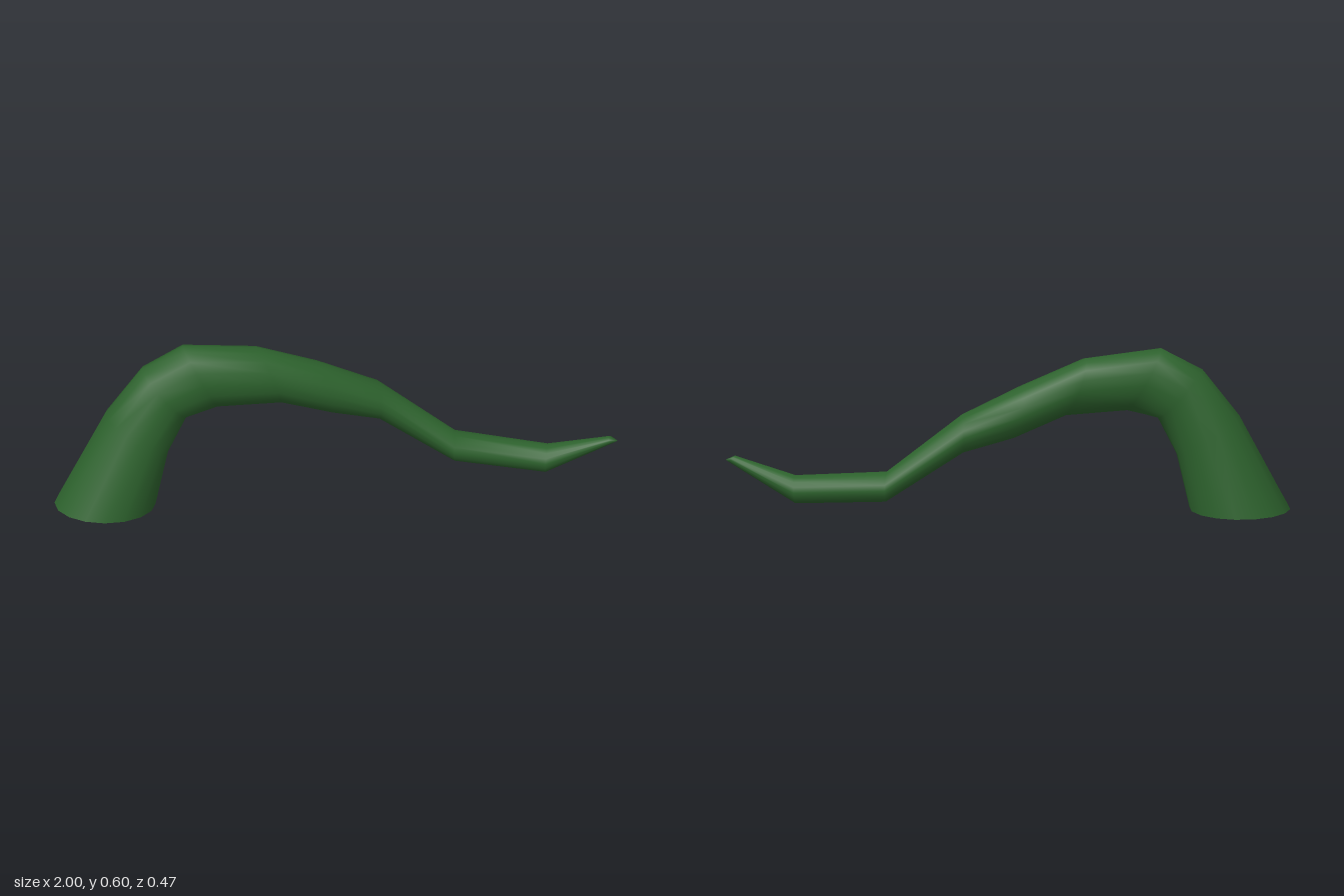
import * as THREE from 'three';

const SIDES = 16;

// Cross-sections from root to tip:
// centre x, y, z | upper rim offset dx, dy | half width in z | lean of the width in x
const RINGS = [
  [-0.82, 0.0, 0.07, -0.18, 0.0, 0.165, 0],
  [-0.708, 0.272, 0.053, -0.112, 0.073, 0.113, 0.05],
  [-0.61, 0.425, 0.038, -0.08, 0.09, 0.093, 0.1],
  [-0.483, 0.48, 0.017, -0.062, 0.115, 0.086, 0.15],
  [-0.24, 0.46, -0.036, -0.04, 0.105, 0.078, 0.3],
  [-0.04, 0.38, -0.1, -0.02, 0.095, 0.083, 0.3],
  [0.15, 0.308, -0.143, 0.0, 0.068, 0.073, 0.15],
  [0.42, 0.113, -0.17, 0.0, 0.053, 0.065, 0],
  [0.747, 0.085, -0.13, 0.003, 0.05, 0.055, -0.05],
  [0.978, 0.18, -0.087, -0.01, 0.011, 0.018, -0.2],
];

function tentacleGeometry() {
  const positions = [];
  const index = [];
  for (const [x, y, z, dx, dy, rz, lean] of RINGS) {
    for (let j = 0; j < SIDES; j++) {
      const a = (j / SIDES) * Math.PI * 2;
      const c = Math.cos(a), s = Math.sin(a);
      positions.push(x + dx * c + rz * lean * s, y + dy * c, z + rz * s);
    }
  }
  // skin between neighbouring rings
  for (let i = 0; i < RINGS.length - 1; i++) {
    for (let j = 0; j < SIDES; j++) {
      const k = (j + 1) % SIDES;
      const a = i * SIDES + j, b = i * SIDES + k;
      index.push(a, b, b + SIDES, a, b + SIDES, a + SIDES);
    }
  }
  // blunt tip
  const last = (RINGS.length - 1) * SIDES;
  const apex = positions.length / 3;
  positions.push(1.0, 0.176, -0.085);
  for (let j = 0; j < SIDES; j++) {
    index.push(last + j, last + ((j + 1) % SIDES), apex);
  }
  const geometry = new THREE.BufferGeometry();
  geometry.setAttribute('position', new THREE.Float32BufferAttribute(positions, 3));
  geometry.setIndex(index);
  geometry.computeVertexNormals();
  return geometry;
}

export function createModel() {
  const group = new THREE.Group();
  group.name = 'tentacleModel';
  // hollow at the root, so both sides are drawn
  const material = new THREE.MeshStandardMaterial({ color: 0x2d622d, side: THREE.DoubleSide });
  const tentacle = new THREE.Mesh(tentacleGeometry(), material);
  tentacle.name = 'tentacle';
  group.add(tentacle);
  return group;
}
